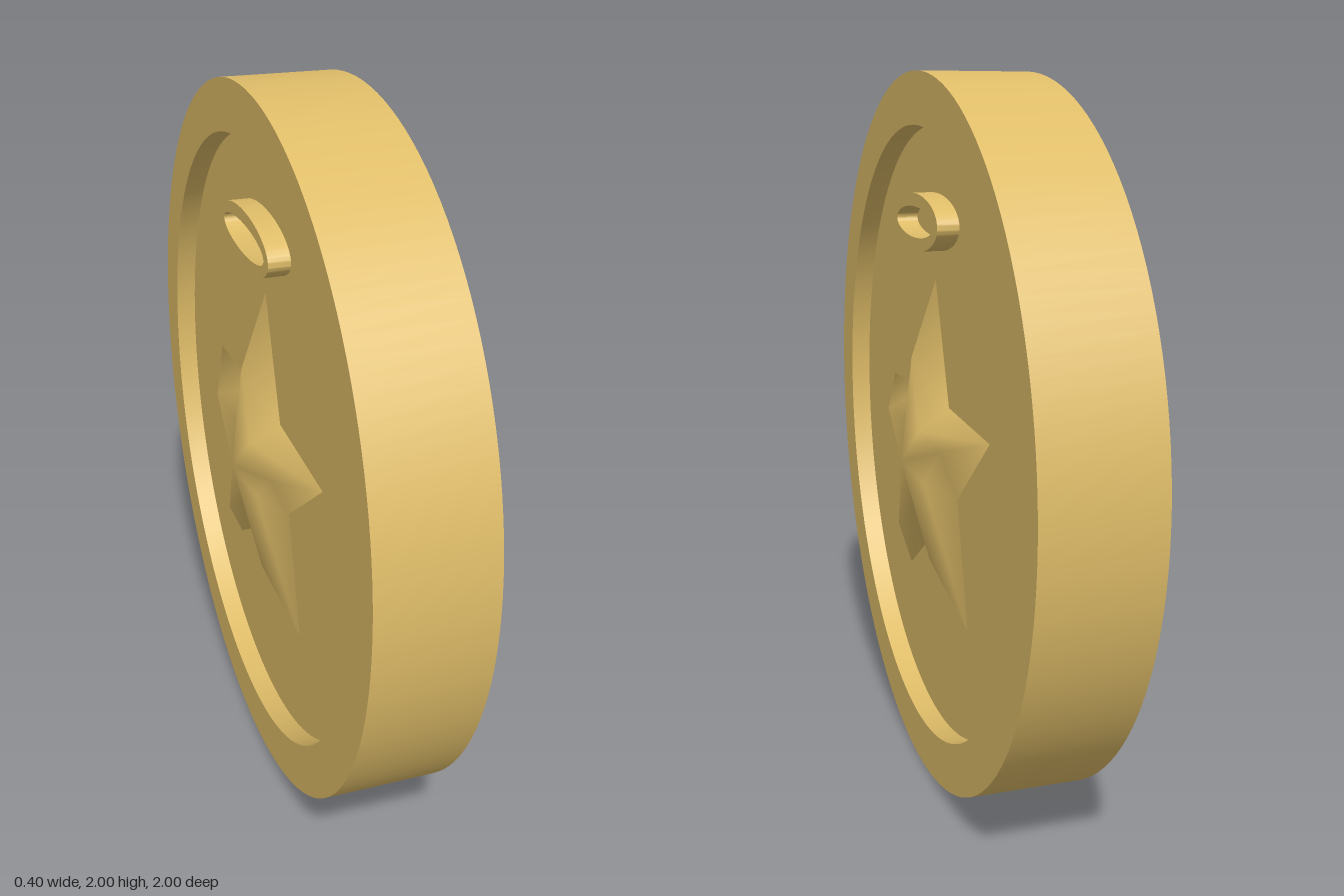
import * as THREE from 'three';
import { toCreasedNormals } from 'three/addons/utils/BufferGeometryUtils.js';

const RIM = 0.155;    // half thickness at the rim
const FLOOR = 0.095;  // half thickness at the recessed faces

// Five-pointed domed star: base outline, raised inner outline, apex
function starGeometry() {
  const pos = [], index = [], n = 10;
  for (const [scale, z] of [[1, FLOOR], [0.58, 0.167]]) {
    for (let i = 0; i < n; i++) {
      const a = Math.PI / 2 + (i * Math.PI) / 5;
      const r = (i % 2 ? 0.215 : 0.512) * scale;
      pos.push(Math.cos(a) * r, Math.sin(a) * r, z);
    }
  }
  pos.push(0, 0, 0.2);
  for (let i = 0; i < n; i++) {
    const j = (i + 1) % n;
    index.push(i, j, n + j, i, n + j, n + i, n + i, n + j, 2 * n);
  }
  const g = new THREE.BufferGeometry();
  g.setAttribute('position', new THREE.Float32BufferAttribute(pos, 3));
  g.setIndex(index);
  g.computeVertexNormals();
  return g;
}

// Flat oval band standing on the recessed face
function ovalGeometry() {
  const shape = new THREE.Shape().absellipse(0, 0, 0.23, 0.078, 0, Math.PI * 2);
  shape.holes.push(new THREE.Path().absellipse(0, 0, 0.19, 0.042, 0, Math.PI * 2));
  const g = new THREE.ExtrudeGeometry(shape, { depth: RIM - FLOOR, bevelEnabled: false, curveSegments: 48 });
  return toCreasedNormals(g, 0.7);
}

export function createModel() {
  const model = new THREE.Group();
  model.name = 'starCoin';
  const gold = new THREE.MeshStandardMaterial({ color: 0xdebc68 });
  gold.name = 'gold';

  const add = (parent, name, geometry) => {
    const mesh = new THREE.Mesh(geometry, gold);
    mesh.name = name;
    parent.add(mesh);
    return mesh;
  };

  // Disc with a raised rim on both faces, axis along x
  const profile = [
    [0, -FLOOR], [0.86, -FLOOR], [0.86, -RIM], [1, -RIM],
    [1, RIM], [0.86, RIM], [0.86, FLOOR], [0, FLOOR],
  ].map(([r, h]) => new THREE.Vector2(r, h));
  const disc = add(model, 'coinBody', toCreasedNormals(new THREE.LatheGeometry(profile, 128), 0.6));
  disc.rotation.z = -Math.PI / 2;
  disc.position.y = 1;

  // Same relief on both faces
  const star = starGeometry(), oval = ovalGeometry();
  for (const side of [1, -1]) {
    const face = new THREE.Group();
    face.name = side > 0 ? 'leftFace' : 'rightFace';
    face.rotation.y = (side * Math.PI) / 2;
    add(face, 'star', star).position.y = 0.93;
    add(face, 'ovalRing', oval).position.set(0, 1.602, FLOOR);
    model.add(face);
  }
  return model;
}
